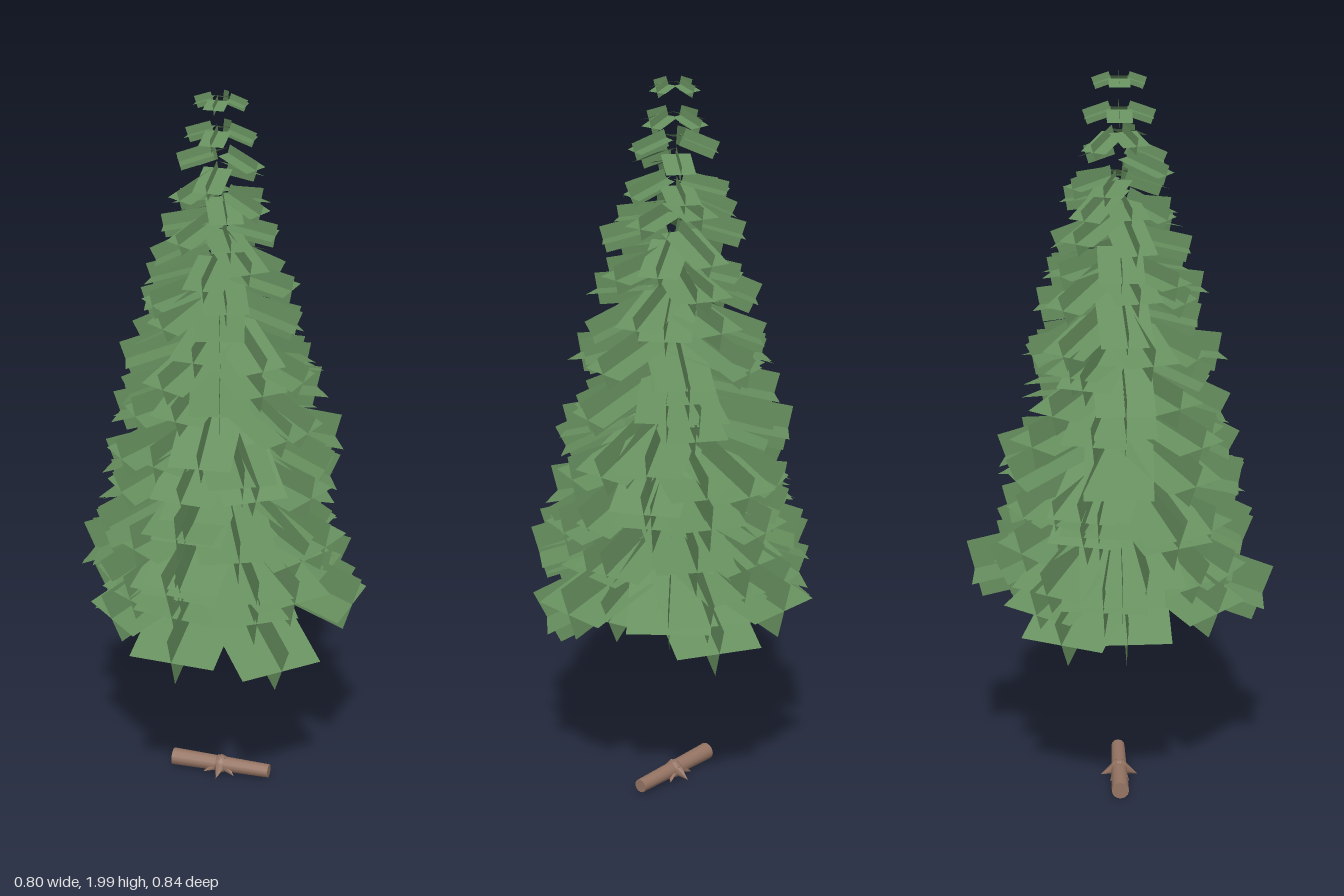
import * as THREE from 'three';

const AXIS_X = 0.005, AXIS_Z = -0.02, CORE = 0.022;

// Reach of the branches from the axis, from the tip to the bottom, at even steps
const REACH = [0.066, 0.118, 0.165, 0.215, 0.258, 0.29, 0.315, 0.36];

// Small seeded generator returning values in -1..1
function makeRandom(seed) {
  let s = seed;
  return () => {
    s = (s * 16807) % 2147483647;
    return (s / 2147483647) * 2 - 1;
  };
}

function reachAt(t) {
  const f = t * (REACH.length - 1);
  const i = Math.min(Math.floor(f), REACH.length - 2);
  return THREE.MathUtils.lerp(REACH[i], REACH[i + 1], f - i);
}

// One branch: a flat card and an upright card crossing along +x
function makeBranch(length, width, height, material) {
  const branch = new THREE.Group();
  branch.name = 'branch';
  const flat = new THREE.Mesh(new THREE.PlaneGeometry(length, width), material);
  flat.name = 'flatNeedleCard';
  flat.rotation.x = -Math.PI / 2;
  const upright = new THREE.Mesh(new THREE.PlaneGeometry(length, height), material);
  upright.name = 'uprightNeedleCard';
  flat.position.x = upright.position.x = length / 2;
  branch.add(flat, upright);
  return branch;
}

function makeFoliage(material) {
  const foliage = new THREE.Group();
  foliage.name = 'foliage';
  const rand = makeRandom(55217);
  const tiers = 21;
  for (let i = 0; i < tiers; i++) {
    const s = i / (tiers - 1);
    const t = 1.25 * s - 0.25 * s * s;               // tiers crowd together lower down
    const jitter = i < 2 ? 0 : Math.min(1, 0.3 + t * 3);
    const tier = new THREE.Group();
    tier.name = 'branchTier';
    tier.position.y = 1.98 - 1.28 * t;
    const count = i < 2 ? 4 : 5 + Math.round(t * 3);
    const turn = i < 2 ? 0 : i * 2.4;
    for (let k = 0; k < count; k++) {
      const droop = 0.33 + 0.16 * rand() * jitter;
      const reach = reachAt(t) * (1 + 0.1 * rand() * jitter);
      const length = (reach - CORE) / Math.cos(droop);
      const branch = makeBranch(length, 0.055 + 0.18 * t, 0.032 + 0.135 * t, material);
      const angle = (k / count) * Math.PI * 2 + turn + 0.3 * rand() * jitter;
      branch.rotation.set(0, angle, -droop, 'YZX');
      branch.position.set(Math.cos(angle) * CORE, 0.035 * rand() * jitter, -Math.sin(angle) * CORE);
      tier.add(branch);
    }
    foliage.add(tier);
  }
  return foliage;
}

// Tapered log lying along x, with a round knot and a star of roots at its middle
function makeBase(material) {
  const base = new THREE.Group();
  base.name = 'base';
  const log = new THREE.Mesh(new THREE.CylinderGeometry(0.019, 0.024, 0.284, 12), material);
  log.name = 'log';
  log.rotation.z = -Math.PI / 2;
  log.position.y = 0.031;
  const knot = new THREE.Mesh(new THREE.SphereGeometry(0.025, 20, 14), material);
  knot.name = 'knot';
  knot.position.y = 0.03;
  base.add(log, knot);
  for (let i = 0; i < 6; i++) {
    const pivot = new THREE.Group();
    pivot.name = 'root';
    pivot.position.y = 0.036;
    pivot.rotation.y = (i + 0.5) * Math.PI / 3;
    const root = new THREE.Mesh(new THREE.ConeGeometry(0.022, 0.058, 6), material);
    root.name = 'rootSpike';
    root.rotation.z = -Math.PI / 2 - 0.45;
    root.position.set(0.026, -0.012, 0);
    pivot.add(root);
    base.add(pivot);
  }
  return base;
}

export function createModel() {
  const green = new THREE.MeshStandardMaterial({ color: 0x668f5e, side: THREE.DoubleSide });
  const brown = new THREE.MeshStandardMaterial({ color: 0x957463 });
  const model = new THREE.Group();
  model.name = 'tree';
  const foliage = makeFoliage(green);
  const base = makeBase(brown);
  foliage.position.set(AXIS_X, 0, AXIS_Z);
  base.position.set(AXIS_X, 0, AXIS_Z);
  model.add(foliage, base);
  return model;
}
